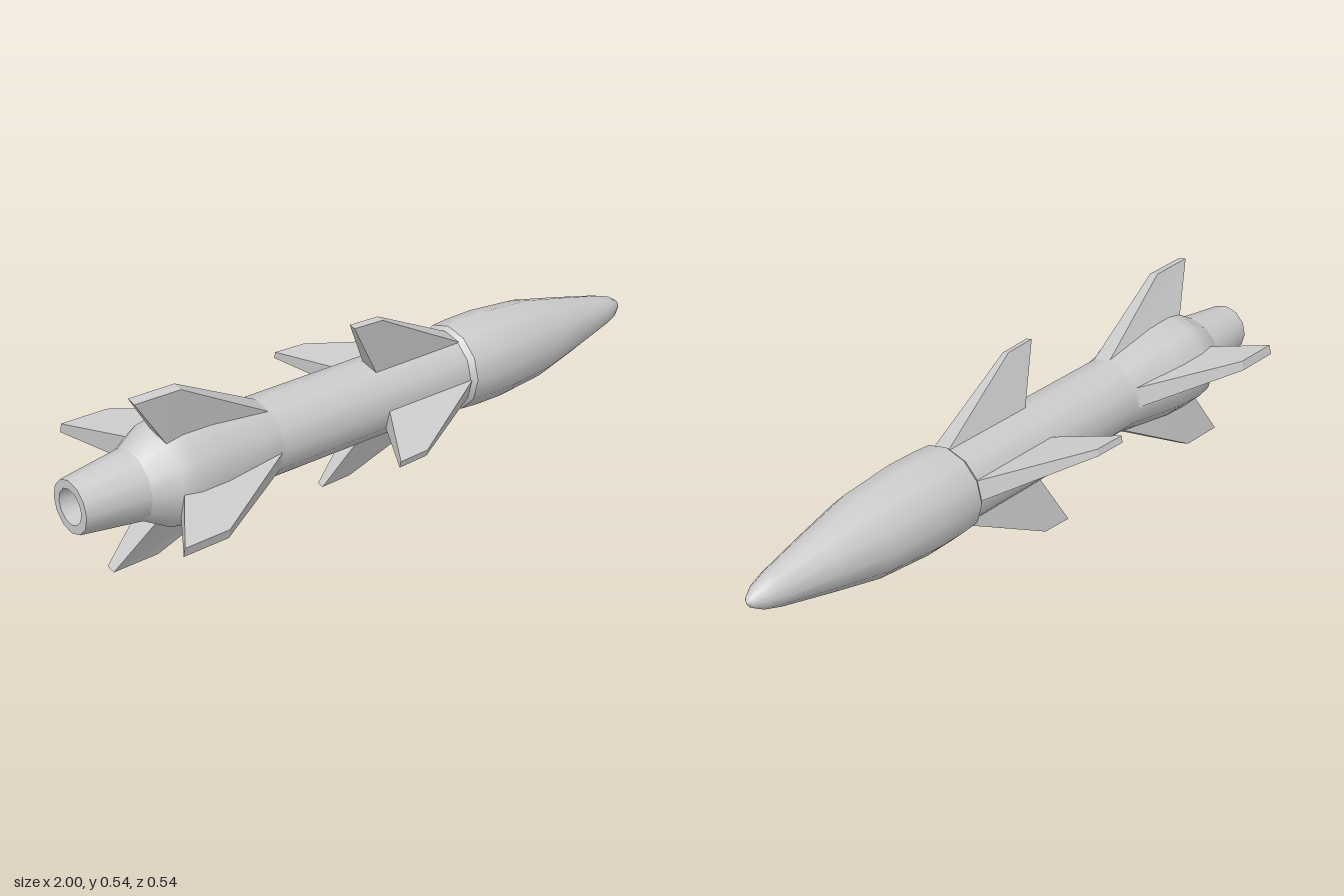
import * as THREE from 'three';

const SIDES = 12;
const AXIS_Y = 0.27;
const material = new THREE.MeshStandardMaterial({ color: 0xcccccc });

// Turned section along x; profile is [x, radius] from tail to nose
function turned(name, profile) {
  const points = profile.map(([x, r]) => new THREE.Vector2(r, x));
  const geometry = new THREE.LatheGeometry(points, SIDES);
  geometry.rotateZ(-Math.PI / 2);
  const mesh = new THREE.Mesh(geometry, material);
  mesh.name = name;
  return mesh;
}

// Tapered swept fin: each end of root and tip is { x, r, h } (h = half thickness)
function finGeometry({ rootBack, rootFront, tipBack, tipFront }) {
  const geometry = new THREE.BoxGeometry(1, 1, 1);
  const p = geometry.attributes.position;
  for (let i = 0; i < p.count; i++) {
    const front = p.getX(i) > 0;
    const c = p.getY(i) > 0 ? (front ? tipFront : tipBack) : (front ? rootFront : rootBack);
    p.setXYZ(i, c.x, c.r, Math.sign(p.getZ(i)) * c.h);
  }
  geometry.computeVertexNormals();
  return geometry;
}

// Four fins, each centred on a flat of the twelve-sided body
function finSet(name, shape) {
  const set = new THREE.Group();
  set.name = name + 's';
  const geometry = finGeometry(shape);
  for (let i = 0; i < 4; i++) {
    const fin = new THREE.Mesh(geometry, material);
    fin.name = name;
    fin.rotation.x = Math.PI / 12 + i * Math.PI / 2;
    set.add(fin);
  }
  return set;
}

export function createModel() {
  const model = new THREE.Group();
  model.name = 'missile';
  const body = new THREE.Group();
  body.name = 'airframe';
  body.position.y = AXIS_Y;
  model.add(body);

  body.add(
    // Hollow exhaust
    turned('nozzleFloor', [[-0.9, 0], [-0.9, 0.045]]),
    turned('nozzleBore', [[-0.9, 0.045], [-1, 0.05]]),
    turned('nozzleRim', [[-1, 0.05], [-1, 0.074]]),
    turned('nozzle', [[-1, 0.074], [-0.82, 0.098]]),
    // Flared tail and straight tube
    turned('tailFlare', [
      [-0.82, 0.098], [-0.75, 0.138], [-0.7, 0.146], [-0.61, 0.142], [-0.41, 0.113],
    ]),
    turned('bodyTube', [[-0.41, 0.113], [0.265, 0.113]]),
    // Shoulder step and rounded nose
    turned('noseShoulder', [[0.265, 0.113], [0.28, 0.127]]),
    turned('nose', [
      [0.28, 0.127], [0.34, 0.131], [0.43, 0.132], [0.6, 0.119], [0.76, 0.085],
      [0.91, 0.051], [0.96, 0.035], [0.99, 0.016], [1, 0],
    ]),
  );

  body.add(finSet('midFin', {
    rootBack: { x: -0.04, r: 0.105, h: 0.03 },
    rootFront: { x: 0.28, r: 0.105, h: 0.03 },
    tipBack: { x: -0.14, r: 0.275, h: 0.01 },
    tipFront: { x: -0.04, r: 0.271, h: 0.01 },
  }));
  body.add(finSet('tailFin', {
    rootBack: { x: -0.75, r: 0.13, h: 0.037 },
    rootFront: { x: -0.41, r: 0.106, h: 0.03 },
    tipBack: { x: -0.85, r: 0.276, h: 0.014 },
    tipFront: { x: -0.71, r: 0.274, h: 0.014 },
  }));

  return model;
}
